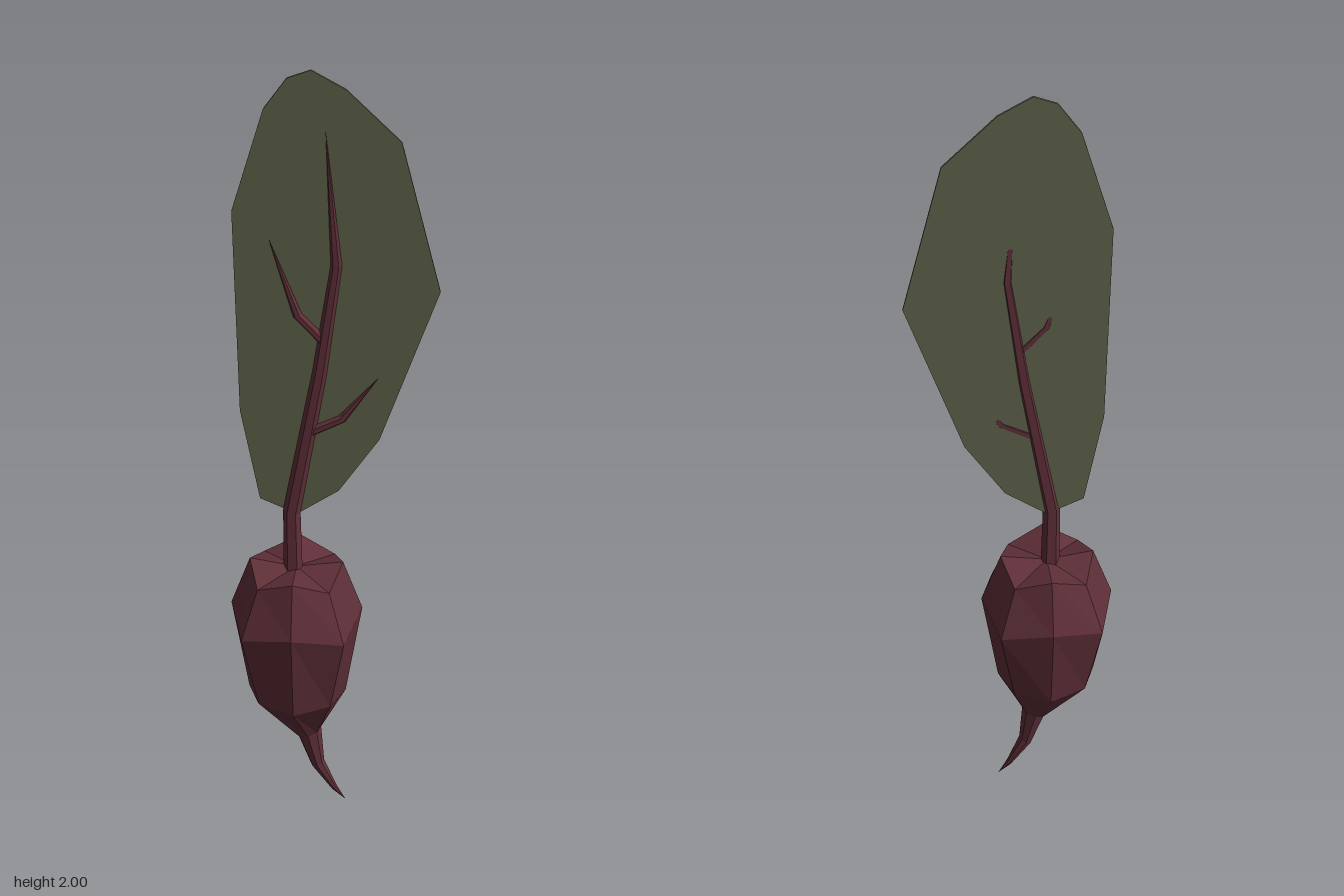
import * as THREE from 'three';

// One ring around (x, y), tilted in the xy plane so that it faces along (tx, ty).
// Every second point may have its own radius and drop along the axis.
function ring(x, y, r, { sides = 8, tx = 0, ty = 1, oddR = r, oddDrop = 0, z = 0 } = {}) {
  const len = Math.hypot(tx, ty), ux = tx / len, uy = ty / len;
  return Array.from({ length: sides }, (_, i) => {
    const a = (i / sides) * Math.PI * 2;
    const odd = i % 2 === 1;
    const c = Math.cos(a) * (odd ? oddR : r), s = Math.sin(a) * (odd ? oddR : r);
    const d = odd ? -oddDrop : 0;
    return new THREE.Vector3(x + uy * c + ux * d, y - ux * c + uy * d, z + s);
  });
}

// Skin a list of rings; a ring of radius 0 closes the end.
function loft(name, rings, material) {
  const points = [];
  const tri = (a, b, c) => {
    if (a.distanceTo(b) > 1e-6 && b.distanceTo(c) > 1e-6 && c.distanceTo(a) > 1e-6) points.push(a, b, c);
  };
  for (let i = 0; i < rings.length - 1; i++) {
    const lo = rings[i], hi = rings[i + 1], n = lo.length;
    for (let j = 0; j < n; j++) {
      const k = (j + 1) % n;
      tri(lo[j], hi[j], hi[k]);
      tri(lo[j], hi[k], lo[k]);
    }
  }
  const geometry = new THREE.BufferGeometry().setFromPoints(points);
  geometry.computeVertexNormals();
  const mesh = new THREE.Mesh(geometry, material);
  mesh.name = name;
  return mesh;
}

// Tapered stalk through [x, y, radius, z] points
function stalk(name, path, sides, material) {
  const rings = path.map(([x, y, r, z = 0], i) => {
    const a = path[Math.max(i - 1, 0)], b = path[Math.min(i + 1, path.length - 1)];
    return ring(x, y, r, { sides, tx: b[0] - a[0], ty: b[1] - a[1], z });
  });
  return loft(name, rings, material);
}

export function createModel() {
  const model = new THREE.Group();
  model.name = 'beetroot';

  const beetRed = new THREE.MeshStandardMaterial({ color: 0x5f2f38 });
  beetRed.name = 'beet red';
  beetRed.flatShading = true;
  const leafGreen = new THREE.MeshStandardMaterial({ color: 0x5f624b });
  leafGreen.name = 'leaf green';
  leafGreen.flatShading = true;

  // Faceted root with a curled tail and a slightly sunken crown
  const cx = -0.087;
  model.add(loft('root', [
    ring(0.033, 0.005, 0),
    ring(0.005, 0.042, 0.008, { tx: -0.8, ty: 1 }),
    ring(-0.037, 0.12, 0.018, { tx: -0.5, ty: 1 }),
    ring(-0.058, 0.22, 0.032, { tx: -0.4, ty: 1 }),
    ring(cx, 0.35, 0.12, { oddR: 0.125, oddDrop: -0.01 }),
    ring(cx, 0.6, 0.16, { oddR: 0.175, oddDrop: 0.03 }),
    ring(cx, 0.73, 0.113, { oddR: 0.122, oddDrop: 0.035 }),
    ring(cx, 0.712, 0),
  ], beetRed));

  // Stem running up the leaf as its midrib, with two side veins
  model.add(stalk('stem', [
    [-0.095, 0.69, 0], [-0.095, 0.69, 0.023], [-0.097, 0.87, 0.021],
    [-0.03, 1.25, 0.017], [0.009, 1.53, 0.013], [-0.015, 1.86, 0, 0.001],
  ], 6, beetRed));
  model.add(stalk('leftVein', [
    [-0.055, 1.09, 0.012], [0.022, 1.13, 0.011], [0.108, 1.245, 0, 0.001],
  ], 6, beetRed));
  model.add(stalk('rightVein', [
    [-0.02, 1.335, 0.012], [-0.08, 1.4, 0.011], [-0.145, 1.595, 0, 0.001],
  ], 6, beetRed));

  // Flat angular leaf blade
  const outline = [
    [-0.047, 2.0], [-0.1, 1.98], [-0.153, 1.905], [-0.227, 1.656], [-0.217, 1.14], [-0.173, 0.9],
    [-0.085, 0.86], [0.015, 0.93], [0.11, 1.075], [0.245, 1.47], [0.153, 1.836], [0.03, 1.957],
  ].map(([x, y]) => new THREE.Vector2(x, y));
  const blade = new THREE.Mesh(
    new THREE.ExtrudeGeometry(new THREE.Shape(outline), { depth: 0.005, bevelEnabled: false }), leafGreen);
  blade.name = 'leafBlade';
  blade.position.z = -0.008;
  model.add(blade);

  return model;
}
